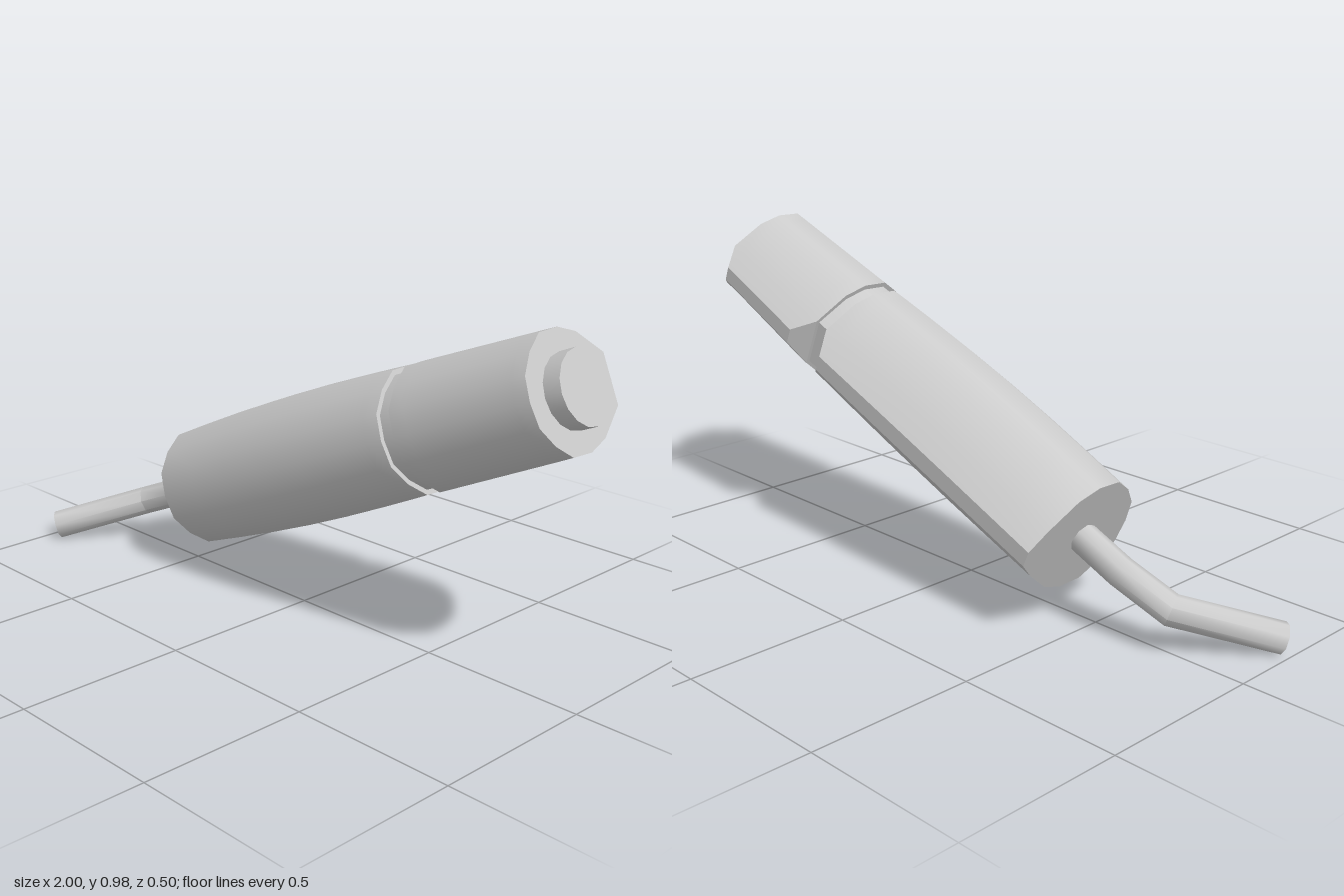
import * as THREE from 'three';
import { toCreasedNormals } from 'three/addons/utils/BufferGeometryUtils.js';

const material = new THREE.MeshStandardMaterial({ color: 0xcccccc });

// Closed skin over rings of [x, y, z] points that run along +x
function loft(rings, crease = 0.6) {
  const n = rings[0].length;
  const pos = [];
  const tri = (...pts) => pts.forEach((p) => pos.push(...p));
  const centre = (ring) => [0, 1, 2].map((k) => ring.reduce((s, p) => s + p[k], 0) / n);
  for (let r = 0; r < rings.length - 1; r++) {
    for (let i = 0; i < n; i++) {
      const j = (i + 1) % n;
      const [a, b, c, d] = [rings[r][i], rings[r][j], rings[r + 1][i], rings[r + 1][j]];
      tri(a, c, b);
      tri(b, c, d);
    }
  }
  const first = rings[0], last = rings[rings.length - 1];
  const c0 = centre(first), c1 = centre(last);
  for (let i = 0; i < n; i++) {
    const j = (i + 1) % n;
    tri(c0, first[i], first[j]);
    tri(c1, last[j], last[i]);
  }
  const geometry = new THREE.BufferGeometry();
  geometry.setAttribute('position', new THREE.Float32BufferAttribute(pos, 3));
  return toCreasedNormals(geometry, crease);
}

// Upper half of the handle's cross-section as [z, y]: round front, narrow flat back
const HALF = [[0.155, 0], [0.145, 0.073], [0.1, 0.132], [0.04, 0.176],
  [-0.04, 0.179], [-0.11, 0.154], [-0.2, 0.078], [-0.25, 0.024]];

// Ring at x; a cut ring has its back ridge sliced off to form a chamfer
function section(x, scale, back = 1, cut = false) {
  const half = HALF.map((p, i) => {
    const [z, y] = cut && i === 7 ? HALF[6] : p;
    return [x, y * scale, z * (z > 0 ? scale : back)];
  });
  const lower = half.slice(1).reverse().map(([px, y, z]) => [px, -y, z]);
  return [...half, ...lower];
}

function add(group, name, geometry) {
  const mesh = new THREE.Mesh(geometry, material);
  mesh.name = name;
  group.add(mesh);
  return mesh;
}

export function createModel() {
  const model = new THREE.Group();
  model.name = 'penTool';

  // Everything is built along x, then tilted
  const tool = new THREE.Group();
  tool.name = 'tiltedTool';
  tool.position.set(-0.467, 0.257, 0);
  tool.rotation.z = 0.399;
  model.add(tool);

  // Main grip, slightly swollen in the middle
  const bulge = (x) => 1 - 0.02 * x + 0.08 * Math.sin(Math.PI * x);
  const gripRings = [0, 0.16, 0.33, 0.5, 0.66, 0.82, 0.94].map((x) => section(x, bulge(x)));
  gripRings.push(section(0.991, 0.98, 1, true));
  add(tool, 'grip', loft(gripRings));

  // Recessed neck in the groove
  add(tool, 'neck', loft([section(0.96, 0.9, 0.95, true), section(1.07, 0.9, 0.95, true)]));

  // Tapered head, its back ridge chamfered at both ends
  add(tool, 'head', loft([
    section(1.038, 0.98, 1, true),
    section(1.09, 0.97, 1),
    section(1.45, 0.9, 0.94),
    section(1.494, 0.89, 0.95, true),
  ]));

  // Round button on the end
  const button = add(tool, 'endButton',
    toCreasedNormals(new THREE.CylinderGeometry(0.1, 0.1, 0.08, 16), 0.6));
  button.rotation.z = -Math.PI / 2;
  button.position.set(1.506, 0, -0.02);

  // Bent cord with mitred joints, from its tip into the grip
  const path = [[-0.543, 0.222], [-0.322, -0.003], [-0.15, -0.025], [0.05, -0.025]]
    .map(([x, z]) => new THREE.Vector2(x, z));
  const sides = 8, radius = 0.045;
  const cordRings = path.map((p, i) => {
    const before = p.clone().sub(path[Math.max(i - 1, 0)]).normalize();
    const after = path[Math.min(i + 1, path.length - 1)].clone().sub(p).normalize();
    const t = before.clone().add(after).normalize();
    const stretch = 1 / t.dot(i ? before : after);
    return Array.from({ length: sides }, (_, k) => {
      const a = (k / sides) * Math.PI * 2;
      const s = Math.cos(a) * radius * stretch;
      return [p.x - t.y * s, Math.sin(a) * radius, p.y + t.x * s];
    });
  });
  add(tool, 'cord', loft(cordRings, 0.85));

  return model;
}
